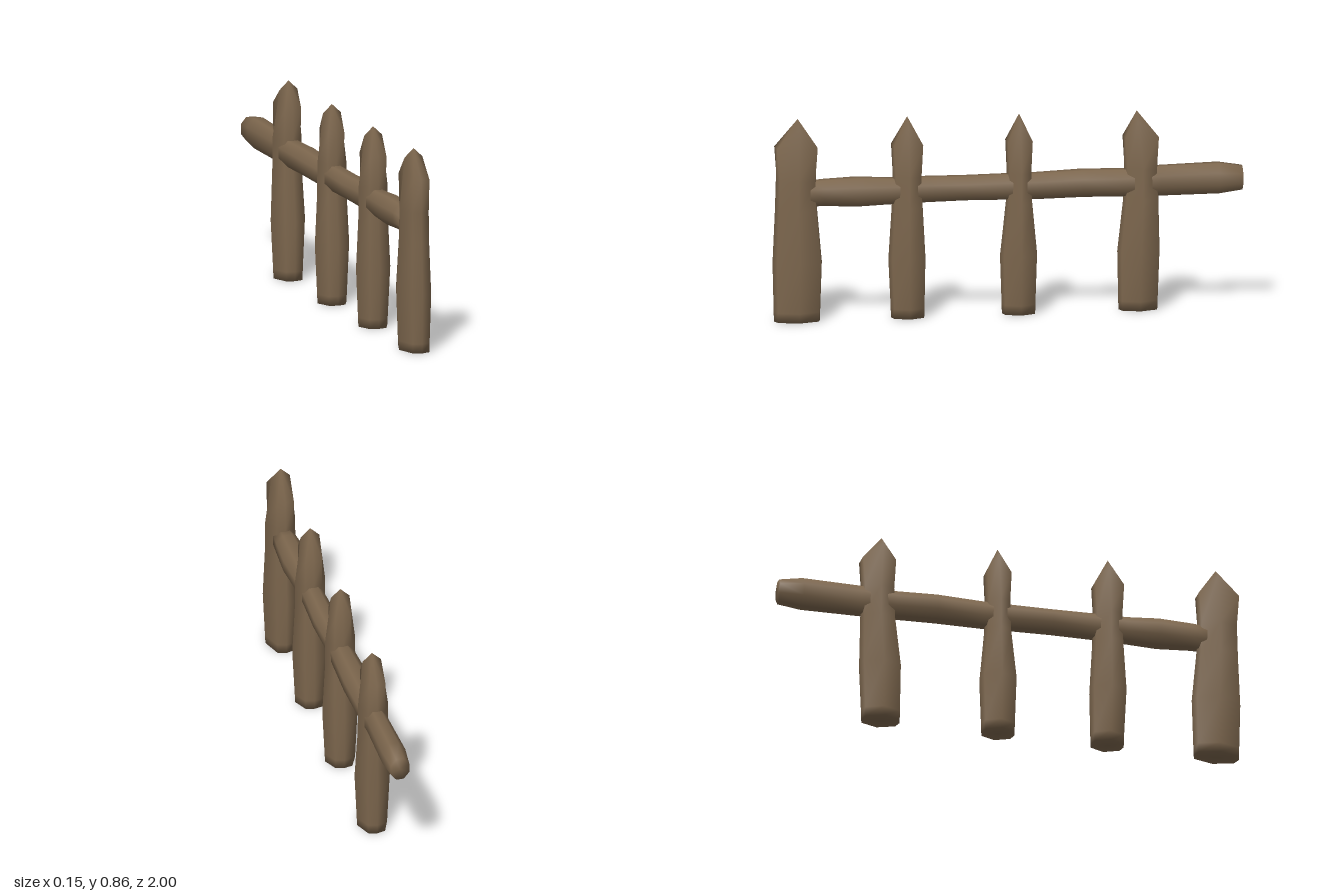
import * as THREE from 'three';

const wood = new THREE.MeshStandardMaterial({ color: 0x7c664d });
wood.name = 'weatheredWood';

// Smooth skin over a list of equal-length rings, closed by a point at each end
function loft(rings, startTip, endTip) {
  const n = rings[0].length;
  const pos = [...rings.flat(), startTip, endTip].flat();
  const index = [];
  const start = rings.length * n, end = start + 1, last = (rings.length - 1) * n;
  for (let j = 0; j < n; j++) {
    const k = (j + 1) % n;
    for (let i = 0; i < rings.length - 1; i++) {
      const a = i * n + j, b = i * n + k;
      index.push(a, a + n, b, b, a + n, b + n);
    }
    index.push(start, j, k, end, last + k, last + j);
  }
  const geo = new THREE.BufferGeometry();
  geo.setAttribute('position', new THREE.Float32BufferAttribute(pos, 3));
  geo.setIndex(index);
  geo.computeVertexNormals();
  return geo;
}

// Eight-sided outline: pointed on the x sides, blunt on the z sides
const OUTLINE = [[1, 0], [0.56, 0.88], [0, 1], [-0.56, 0.88], [-1, 0], [-0.56, -0.88], [0, -1], [0.56, -0.88]];
const postRing = (y, hx, z, hz) => OUTLINE.map(([u, v]) => [u * hx, y, z + v * hz]);

// Post with a swollen lower half and a wedge-cut tip
function makePost({ z0, h0, zm, hm, z1, h1, shoulder, tipY, tipZ }) {
  const top = OUTLINE.map(([u, v]) => v === 0
    ? [u * 0.04, tipY - 0.038, tipZ]
    : [Math.sign(u) * 0.036, shoulder, z1 + Math.sign(v) * h1]);
  const rings = [
    postRing(0, 0.065, z0, h0),
    postRing(0.04, 0.067, z0, h0 + 0.001),
    postRing(0.25, 0.077, zm, hm),
    postRing(0.47, 0.066, z1, h1 + 0.004),
    postRing(0.6, 0.065, z1, h1),
    top,
  ];
  return new THREE.Mesh(loft(rings, [0, 0, z0], [0, tipY, tipZ]), wood);
}

const POSTS = [
  { z0: 0.893, h0: 0.098, zm: 0.892, hm: 0.105, z1: 0.897, h1: 0.086, shoulder: 0.74, tipY: 0.86, tipZ: 0.89 },
  { z0: 0.422, h0: 0.071, zm: 0.425, hm: 0.079, z1: 0.424, h1: 0.062, shoulder: 0.735, tipY: 0.855, tipZ: 0.424 },
  { z0: -0.05, h0: 0.071, zm: -0.05, hm: 0.079, z1: -0.052, h1: 0.052, shoulder: 0.735, tipY: 0.85, tipZ: -0.052 },
  { z0: -0.558, h0: 0.083, zm: -0.56, hm: 0.09, z1: -0.57, h1: 0.071, shoulder: 0.735, tipY: 0.845, tipZ: -0.553 },
];

// Rail stations from front to back: z, centre height, half width, half height
const RAIL = [
  [0.85, 0.54, 0.045, 0.052], [0.78, 0.543, 0.05, 0.054], [0.64, 0.542, 0.057, 0.06], [0.5, 0.54, 0.047, 0.054],
  [0.36, 0.542, 0.045, 0.053], [0.18, 0.542, 0.052, 0.05], [0, 0.541, 0.045, 0.053], [-0.12, 0.54, 0.05, 0.054],
  [-0.32, 0.545, 0.058, 0.056], [-0.5, 0.541, 0.052, 0.056], [-0.65, 0.544, 0.045, 0.062],
  [-0.9, 0.547, 0.05, 0.064], [-1, 0.545, 0.04, 0.05],
];

export function createModel() {
  const fence = new THREE.Group();
  fence.name = 'fence';

  POSTS.forEach((spec, i) => {
    const post = makePost(spec);
    post.name = `post${i + 1}`;
    fence.add(post);
  });

  // Uneven round rail running through the posts
  const rings = RAIL.map(([z, y, hx, hy]) => Array.from({ length: 8 }, (_, i) => {
    const t = (i + 0.5) * Math.PI / 4, s = 1 / Math.cos(Math.PI / 8);
    return [Math.cos(t) * hx * s, y + Math.sin(t) * hy * s, z];
  }));
  const rail = new THREE.Mesh(loft(rings, [0, 0.54, 0.85], [0, 0.545, -1]), wood);
  rail.name = 'rail';
  fence.add(rail);
  return fence;
}
